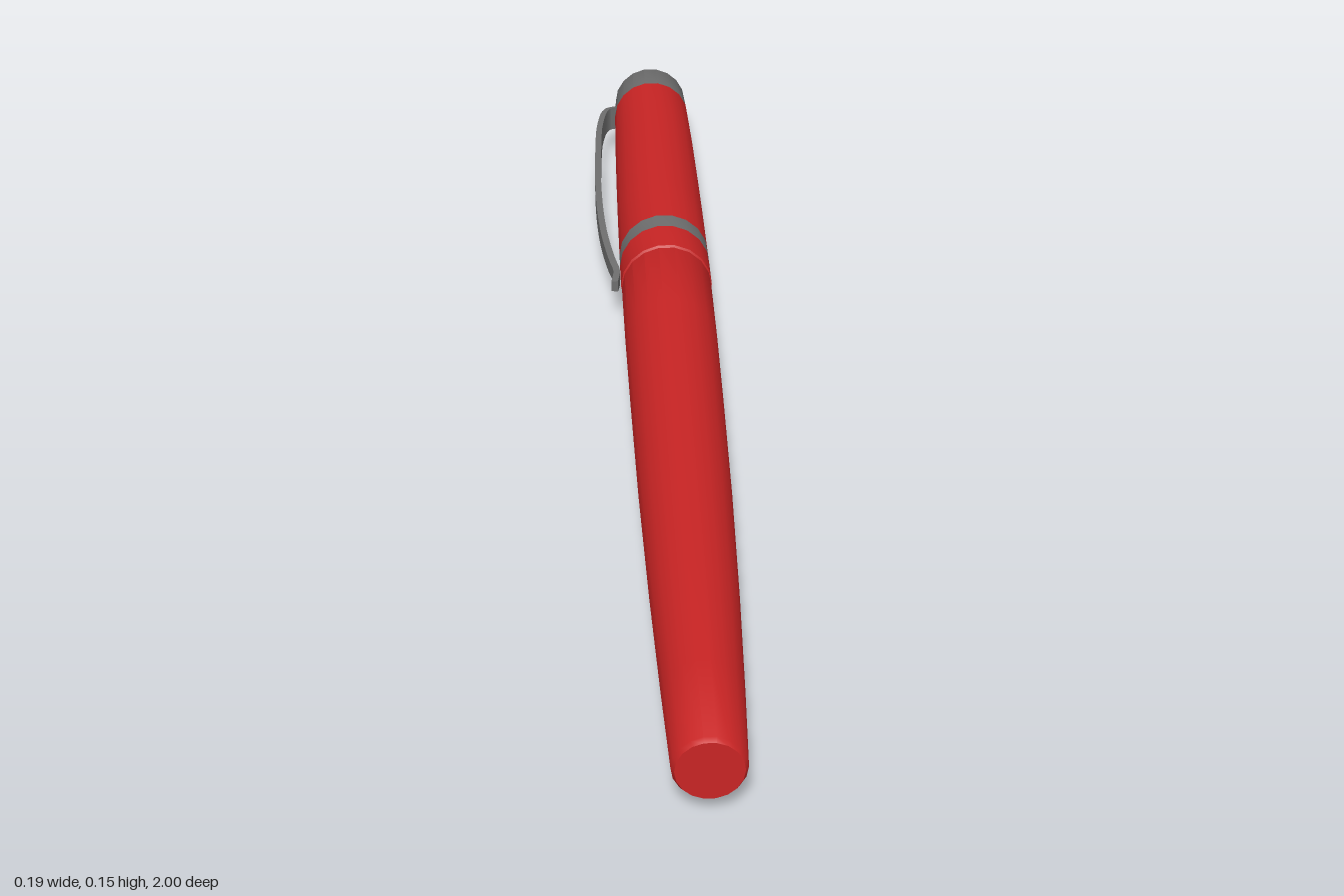
import * as THREE from 'three';
import { toCreasedNormals } from 'three/addons/utils/BufferGeometryUtils.js';

const AXIS_X = 0.018, AXIS_Y = 0.075, SIDES = 18;

const red = new THREE.MeshStandardMaterial({ name: 'red lacquer', color: 0xc82424 });
const grey = new THREE.MeshStandardMaterial({ name: 'grey metal', color: 0x6e6e6e });

// Solid of revolution along z from [radius, z] pairs
function turned(name, profile, material) {
  const points = profile.map(([r, z]) => new THREE.Vector2(r, z));
  const lathe = new THREE.LatheGeometry(points, SIDES, Math.PI / SIDES);
  lathe.rotateX(Math.PI / 2);
  const mesh = new THREE.Mesh(toCreasedNormals(lathe, 0.6), material);
  mesh.name = name;
  mesh.position.set(AXIS_X, AXIS_Y, 0);
  return mesh;
}

// Bowed, tapering clip: a box swept along a path of (x, half width, z)
function makeClip() {
  const path = new THREE.CatmullRomCurve3([
    [-0.046, 0.022, -0.935], [-0.066, 0.022, -0.925], [-0.08, 0.020, -0.87],
    [-0.087, 0.018, -0.74], [-0.089, 0.0175, -0.56], [-0.083, 0.016, -0.42],
    [-0.071, 0.014, -0.32], [-0.064, 0.012, -0.28], [-0.068, 0.010, -0.245],
  ].map((p) => new THREE.Vector3(...p)));
  const geometry = new THREE.BoxGeometry(1, 2, 1, 1, 1, 32);
  const pos = geometry.attributes.position;
  for (let i = 0; i < pos.count; i++) {
    const t = pos.getZ(i) + 0.5;
    const p = path.getPoint(t), d = path.getTangent(t);
    const len = Math.hypot(d.x, d.z);
    const side = pos.getX(i);
    // The outer face is a little narrower than the inner one
    const width = p.y * (side < 0 ? 0.9 : 1);
    const off = side * 0.011;
    pos.setXYZ(i, p.x + off * d.z / len, 0.069 + pos.getY(i) * width, p.z - off * d.x / len);
  }
  const mesh = new THREE.Mesh(toCreasedNormals(geometry, 0.6), grey);
  mesh.name = 'clip';
  return mesh;
}

export function createModel() {
  const pen = new THREE.Group();
  pen.name = 'pen';
  pen.add(
    // Grey end of the cap
    turned('capEnd', [[0, -1], [0.062, -1], [0.0665, -0.994], [0.0695, -0.92]], grey),
    // Cap tube above the band
    turned('capTube', [[0.0695, -0.92], [0.072, -0.8], [0.074, -0.62], [0.075, -0.48], [0.0755, -0.345]], red),
    // Decorative ring
    turned('capBand', [[0.0755, -0.345], [0.0757, -0.305]], grey),
    // Cap lip, closed against the barrel
    turned('capLip', [[0.0757, -0.305], [0.0757, -0.235], [0.07, -0.232]], red),
    // Tapering barrel with a bevelled end
    turned('barrel', [
      [0.07, -0.235], [0.0745, -0.228], [0.0735, -0.05], [0.071, 0.15], [0.067, 0.4],
      [0.0605, 0.65], [0.0535, 0.85], [0.0475, 0.993], [0.0435, 1], [0, 1],
    ], red),
    makeClip(),
  );
  return pen;
}
